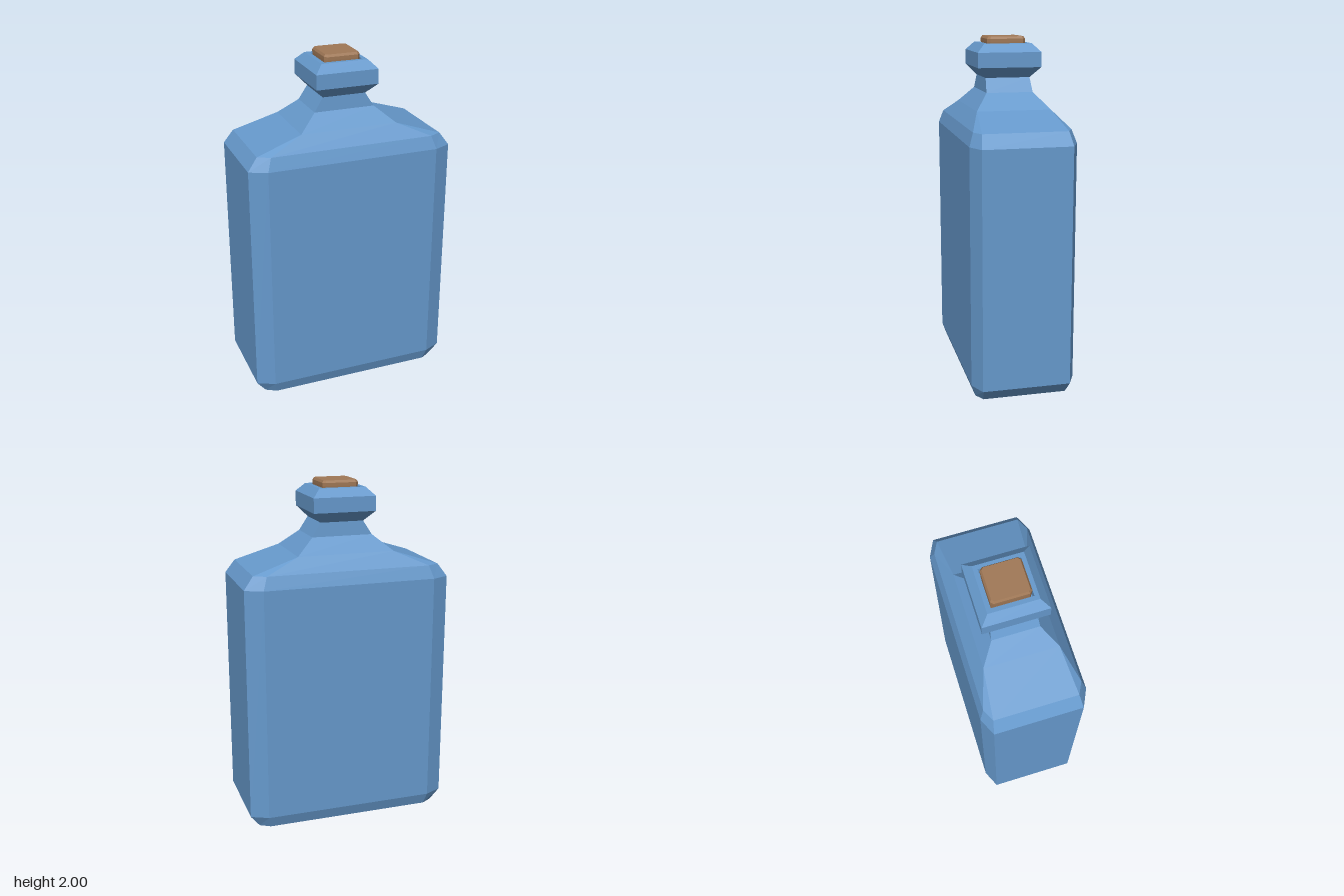
import * as THREE from 'three';

// Ring: [y, half width, half depth, corner cut in x, corner cut in z]
function ringPoints([y, w, d, cx = 0, cz = 0]) {
  const a = w - cx, b = d - cz;
  return [[w, -b], [w, b], [a, d], [-a, d], [-w, b], [-w, -b], [-a, -d], [a, -d]]
    .map(([x, z]) => new THREE.Vector3(x, y, z));
}

// Skin a stack of eight-cornered rings, with both ends capped
function loft(rings, material, name) {
  const pos = [];
  const tri = (a, b, c) => {
    const n = b.clone().sub(a).cross(c.clone().sub(a));
    if (n.length() > 1e-8) for (const p of [a, b, c]) pos.push(p.x, p.y, p.z);
  };
  const loops = rings.map(ringPoints);
  for (let i = 0; i < loops.length - 1; i++) {
    const lo = loops[i], up = loops[i + 1];
    for (let j = 0; j < 8; j++) {
      const k = (j + 1) % 8;
      tri(lo[j], up[j], lo[k]);
      tri(lo[k], up[j], up[k]);
    }
  }
  const first = loops[0], last = loops[loops.length - 1];
  for (let j = 1; j < 7; j++) {
    tri(first[0], first[j], first[j + 1]);
    tri(last[0], last[j + 1], last[j]);
  }
  const geo = new THREE.BufferGeometry();
  geo.setAttribute('position', new THREE.Float32BufferAttribute(pos, 3));
  geo.computeVertexNormals();
  const mesh = new THREE.Mesh(geo, material);
  mesh.name = name;
  return mesh;
}

export function createModel() {
  const glass = new THREE.MeshStandardMaterial({ color: 0x6699cc });
  glass.name = 'blue glass';
  const cork = new THREE.MeshStandardMaterial({ color: 0xa07856 });
  cork.name = 'brown cork';

  const group = new THREE.Group();
  group.name = 'bottle';

  // Bottle: chamfered body, shoulders, neck, collar and hollow mouth
  group.add(loft([
    [0, 0.55, 0.275, 0.06, 0.035],
    [0.07, 0.605, 0.3, 0.1, 0.047],
    [1.44, 0.605, 0.3, 0.1, 0.047],
    [1.515, 0.55, 0.275, 0.07, 0.035],
    [1.6, 0.285, 0.213],
    [1.69, 0.178, 0.135],
    [1.77, 0.127, 0.129],
    [1.83, 0.183, 0.184],
    [1.915, 0.183, 0.184],
    [1.962, 0.137, 0.139],
    [1.962, 0.112, 0.115],
    [1.9, 0.112, 0.115],
  ], glass, 'bottleGlass'));

  // Stopper with softened corners and top edge
  group.add(loft([
    [1.89, 0.1, 0.106, 0.016, 0.016],
    [1.97, 0.105, 0.111, 0.016, 0.016],
    [1.987, 0.105, 0.111, 0.016, 0.016],
    [2, 0.097, 0.102, 0.012, 0.012],
  ], cork, 'stopper'));

  return group;
}
